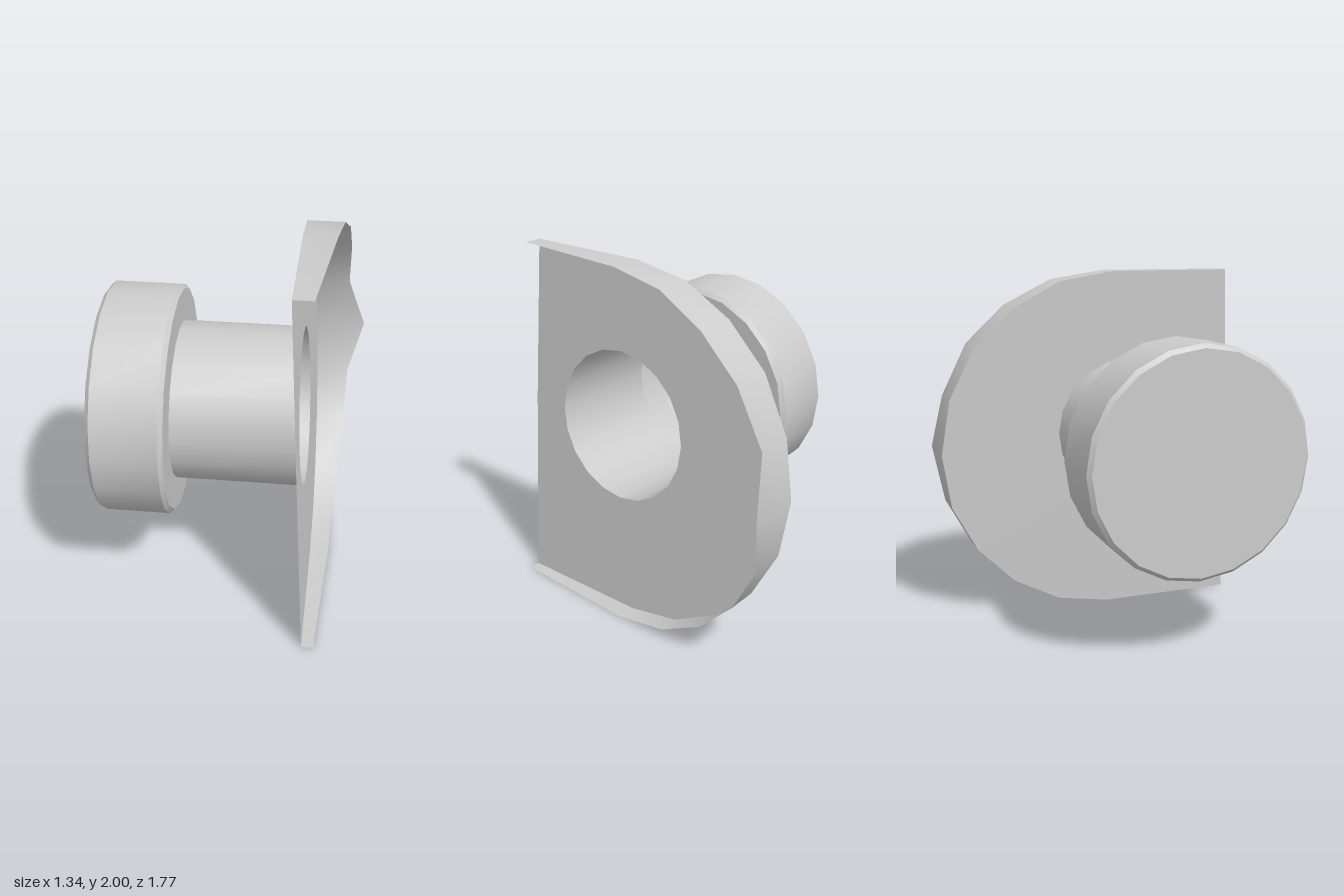
import * as THREE from 'three';
import { toCreasedNormals } from 'three/addons/utils/BufferGeometryUtils.js';

const CENTER_Y = 1.083, CENTER_Z = 0.217, SHAFT_R = 0.42, SIDES = 20;

// x of the slightly tilted plate at a given height and depth
const plateX = (y, z) => 0.31 + 0.054 * (2 - y) + 0.01 * (0.81 - z);

// Curved edge of the plate: z, y, and x of the lip's free edge
const RIM = [
  [0.81, 2, 0.41], [0.11, 2, 0.49], [-0.2, 1.95, 0.52], [-0.47, 1.81, 0.55],
  [-0.69, 1.6, 0.565], [-0.835, 1.31, 0.565], [-0.885, 1, 0.67],
  [-0.835, 0.69, 0.585], [-0.69, 0.42, 0.575], [-0.47, 0.2, 0.555],
  [-0.2, 0.055, 0.54], [0.11, 0, 0.53], [0.885, 0, 0.48],
];

const material = new THREE.MeshStandardMaterial({ color: 0xcccccc, side: THREE.DoubleSide });

function part(name, geometry) {
  const mesh = new THREE.Mesh(toCreasedNormals(geometry, 0.6), material);
  mesh.name = name;
  return mesh;
}

// Turned part along x from [radius, x] pairs
function turned(profile) {
  return new THREE.LatheGeometry(profile.map(([r, x]) => new THREE.Vector2(r, x)), SIDES)
    .rotateZ(-Math.PI / 2)
    .translate(0, CENTER_Y, CENTER_Z);
}

// D-shaped plate with the round opening of the hollow shaft
function plateGeometry() {
  const shape = new THREE.Shape();
  RIM.forEach(([z, y], i) => (i ? shape.lineTo(-z, y) : shape.moveTo(-z, y)));
  shape.lineTo(-0.855, 1.1);
  shape.closePath();
  const hole = new THREE.Path();
  for (let i = 0; i < SIDES; i++) {
    const a = (i / SIDES) * Math.PI * 2;
    const u = -CENTER_Z + SHAFT_R * Math.cos(a), v = CENTER_Y + SHAFT_R * Math.sin(a);
    i ? hole.lineTo(u, v) : hole.moveTo(u, v);
  }
  hole.closePath();
  shape.holes.push(hole);
  const geometry = new THREE.ShapeGeometry(shape).rotateY(Math.PI / 2);
  const p = geometry.attributes.position;
  for (let i = 0; i < p.count; i++) p.setX(i, plateX(p.getY(i), p.getZ(i)));
  return geometry;
}

// Thin lip standing on the curved edge
function lipGeometry() {
  const positions = [], index = [];
  RIM.forEach(([z, y, x], i) => {
    positions.push(plateX(y, z), y, z, x, y, z);
    if (i) {
      const a = 2 * (i - 1);
      index.push(a, a + 1, a + 2, a + 1, a + 3, a + 2);
    }
  });
  const geometry = new THREE.BufferGeometry();
  geometry.setAttribute('position', new THREE.Float32BufferAttribute(positions, 3));
  geometry.setIndex(index);
  return geometry;
}

// Hollow shaft, its open end trimmed to the plate
function shaftGeometry() {
  const geometry = turned([[SHAFT_R, -0.29], [SHAFT_R, 0.36]]);
  const p = geometry.attributes.position;
  for (let i = 0; i < p.count; i++) {
    if (p.getX(i) > 0) p.setX(i, plateX(p.getY(i), p.getZ(i)));
  }
  return geometry;
}

export function createModel() {
  const group = new THREE.Group();
  group.name = 'knobWithFlange';
  const b = 0.022, R = 0.612;
  group.add(
    part('plate', plateGeometry()),
    part('lip', lipGeometry()),
    part('shaft', shaftGeometry()),
    // Knob with bevelled edges, open towards the shaft
    part('knob', turned([
      [0, -0.67], [R - b, -0.67], [R, -0.67 + b],
      [R, -0.29 - b], [R - b, -0.29], [SHAFT_R, -0.29],
    ])),
  );
  return group;
}
